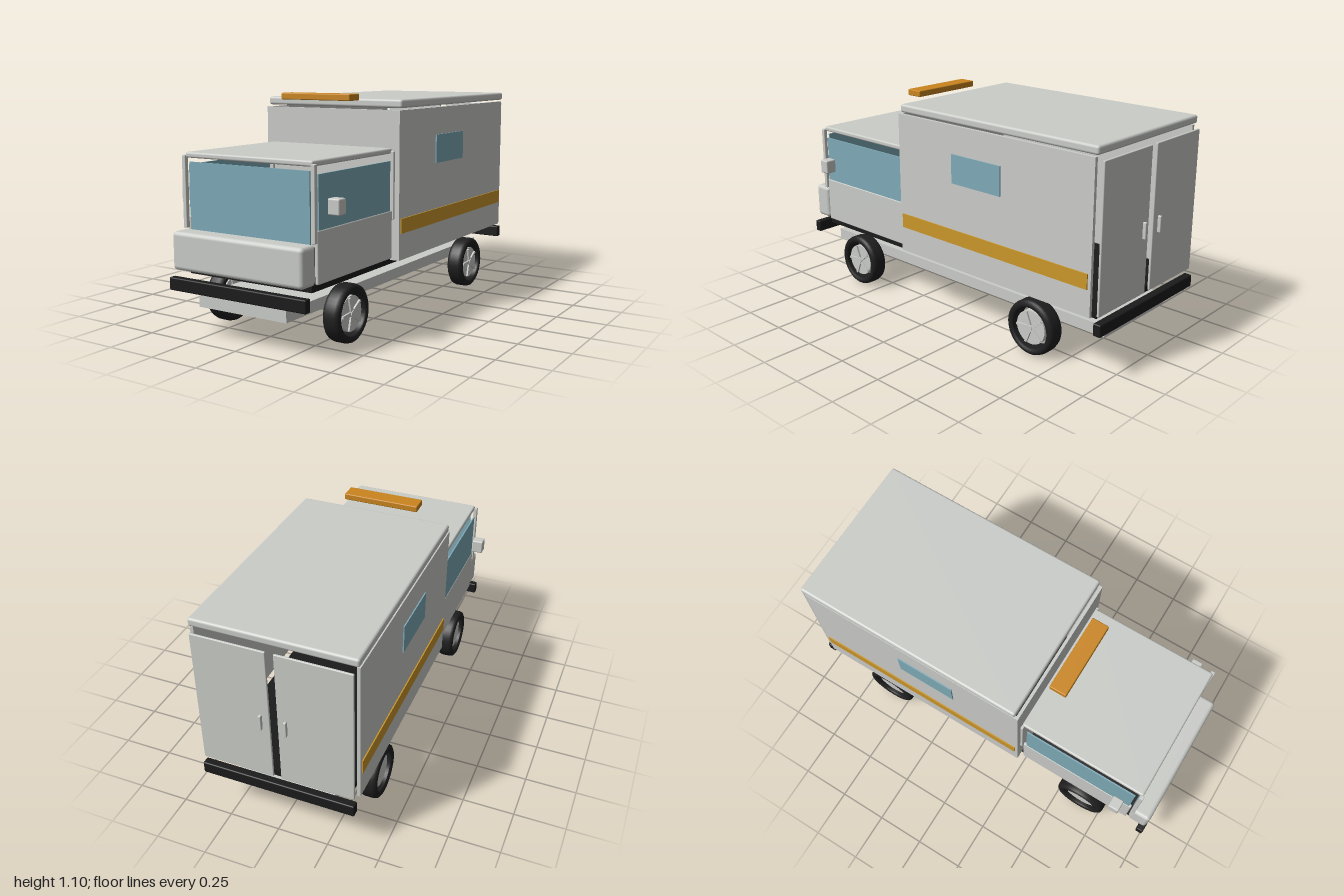
import * as THREE from 'three';
import { RoundedBoxGeometry } from 'three/addons/geometries/RoundedBoxGeometry.js';

const mat = (name, color, side = THREE.FrontSide) => {
  const m = new THREE.MeshStandardMaterial({ color, side });
  m.name = name;
  return m;
};

export function createModel() {
  const model = new THREE.Group();
  model.name = 'boxVan';
  const paint = mat('greyPaint', 0xcbcdc9);
  const glass = mat('blueGlass', 0x7fabb8);
  const black = mat('blackRubber', 0x1b1b1b);
  const amber = mat('amberLight', 0xcb861f);
  const gold = mat('goldStripe', 0xcb972a);

  // Block between two corners; a radius gives it rounded edges
  const block = (name, m, [x0, x1], [y0, y1], [z0, z1], r = 0, parent = model) => {
    const s = [x1 - x0, y1 - y0, z1 - z0];
    const geo = r ? new RoundedBoxGeometry(...s, 2, r) : new THREE.BoxGeometry(...s);
    const mesh = new THREE.Mesh(geo, m);
    mesh.name = name;
    mesh.position.set((x0 + x1) / 2, (y0 + y1) / 2, (z0 + z1) / 2);
    parent.add(mesh);
    return mesh;
  };
  // The same block on both sides, given for the left (+x)
  const pair = (name, m, [x0, x1], y, z, r = 0) => {
    block(name + 'Left', m, [x0, x1], y, z, r);
    block(name + 'Right', m, [-x1, -x0], y, z, r);
  };

  // Chassis
  block('underPlate', paint, [-0.243, 0.243], [0.155, 0.21], [-0.92, 0.952]);
  block('floor', black, [-0.34, 0.34], [0.288, 0.317], [-0.94, 0.9]);
  block('frontBumper', black, [-0.378, 0.378], [0.225, 0.285], [0.963, 1], 0.006);
  block('rearBumper', black, [-0.378, 0.378], [0.225, 0.285], [-0.99, -0.95], 0.006);

  // Cargo box: open shell with a floating roof
  pair('boxWall', paint, [0.372, 0.388], [0.307, 1.023], [-0.938, 0.25]);
  block('boxFrontWall', paint, [-0.372, 0.372], [0.307, 1.023], [0.235, 0.25]);
  block('boxRoof', paint, [-0.39, 0.39], [1.032, 1.073], [-0.954, 0.234], 0.012);
  pair('boxWindow', glass, [0.387, 0.394], [0.743, 0.886], [-0.423, -0.118]);
  pair('sideStripe', gold, [0.387, 0.394], [0.437, 0.509], [-0.922, 0.235]);
  pair('rearDoor', paint, [0.019, 0.374], [0.315, 1.012], [-0.976, -0.964], 0.004);
  pair('rearDoorHandle', paint, [0.053, 0.067], [0.59, 0.67], [-0.993, -0.975], 0.004);
  block('lightBar', amber, [-0.197, 0.197], [1.067, 1.099], [0.299, 0.386], 0.005);

  // Cab
  block('cabRoof', paint, [-0.35, 0.35], [0.82, 0.846], [0.252, 0.904], 0.009);
  block('windshield', glass, [-0.33, 0.33], [0.49, 0.802], [0.889, 0.897]);
  block('nose', paint, [-0.36, 0.36], [0.32, 0.497], [0.893, 0.996], 0.02);
  pair('frontPillar', paint, [0.345, 0.365], [0.5, 0.832], [0.89, 0.911], 0.003);
  pair('rearPillar', paint, [0.345, 0.365], [0.508, 0.832], [0.251, 0.265], 0.003);
  pair('cabDoor', paint, [0.343, 0.361], [0.32, 0.552], [0.268, 0.884], 0.006);
  pair('cabSideWindow', glass, [0.351, 0.358], [0.55, 0.788], [0.284, 0.872]);
  pair('mirror', paint, [0.378, 0.438], [0.615, 0.686], [0.785, 0.84], 0.007);

  // Wheels: open tyre ring, flat hub disc and five spokes on the hub's left face
  const tyreProfile = [
    [0.1, -0.034], [0.105, -0.042], [0.12, -0.044], [0.131, -0.036], [0.135, -0.022],
    [0.135, 0.022], [0.131, 0.036], [0.12, 0.044], [0.105, 0.042], [0.1, 0.034], [0.1, -0.034],
  ].map(([r, h]) => new THREE.Vector2(r, h));
  const tyreGeo = new THREE.LatheGeometry(tyreProfile, 36).rotateZ(-Math.PI / 2);
  const hubGeo = new THREE.CylinderGeometry(0.083, 0.083, 0.05, 32).rotateZ(-Math.PI / 2);
  const capGeo = new THREE.CylinderGeometry(0.016, 0.018, 0.012, 20).rotateZ(-Math.PI / 2);
  const spokeShape = new THREE.Shape([
    new THREE.Vector2(-0.011, 0.008), new THREE.Vector2(0.011, 0.008),
    new THREE.Vector2(0.006, 0.08), new THREE.Vector2(-0.006, 0.08),
  ]);
  const spokeGeo = new THREE.ExtrudeGeometry(spokeShape, { depth: 0.009, bevelEnabled: false })
    .rotateY(Math.PI / 2);

  const rubber = mat('tyreRubber', 0x1f1f1f, THREE.DoubleSide);
  for (const [end, z] of [['front', 0.63], ['rear', -0.592]]) {
    for (const [side, x] of [['Left', 0.335], ['Right', -0.335]]) {
      const wheel = new THREE.Group();
      wheel.name = end + 'Wheel' + side;
      wheel.position.set(x, 0.138, z);
      const add = (name, geo, m, px = 0) => {
        const mesh = new THREE.Mesh(geo, m);
        mesh.name = name;
        mesh.position.x = px;
        wheel.add(mesh);
        return mesh;
      };
      add('tyre', tyreGeo, rubber);
      add('hub', hubGeo, paint, 0.003);
      add('hubCap', capGeo, paint, 0.034);
      for (let i = 0; i < 5; i++) {
        add('spoke', spokeGeo, paint, 0.028).rotation.x = (i / 5) * Math.PI * 2 + Math.PI / 2;
      }
      model.add(wheel);
    }
  }
  return model;
}
